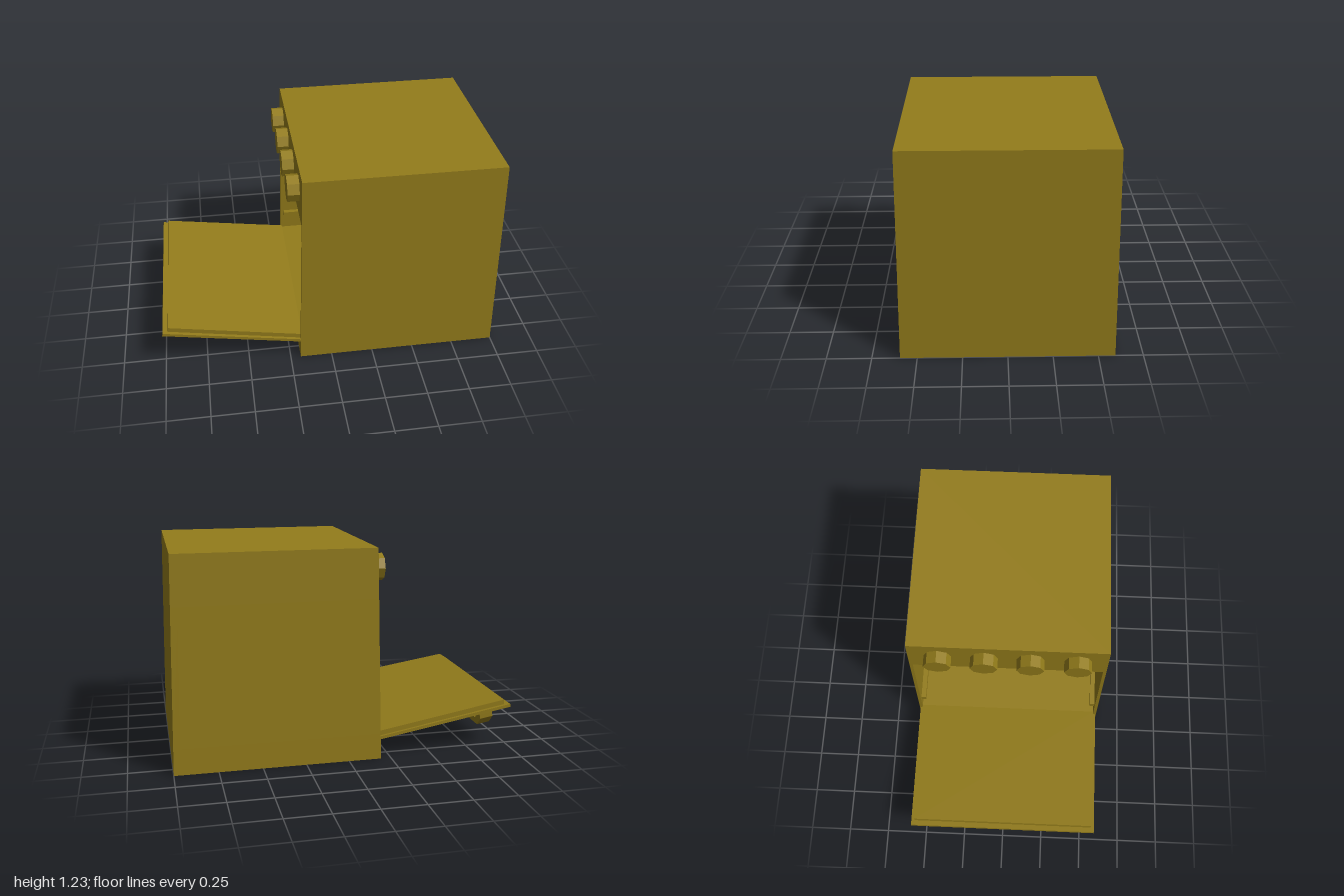
import * as THREE from 'three';

const H = 1.23, CX = 0.405, HALF = 0.595;

export function createModel() {
  const root = new THREE.Group();
  const mat = new THREE.MeshStandardMaterial({ color: 0x937c1b, flatShading: true });

  const add = (parent, name, geo) => {
    const mesh = new THREE.Mesh(geo, mat);
    mesh.name = name;
    parent.add(mesh);
    return mesh;
  };

  // Box between two corners, narrowing slightly towards the top of the oven
  const taperedBox = (x0, x1, y0, y1, z0, z1) => {
    const geo = new THREE.BoxGeometry(x1 - x0, y1 - y0, z1 - z0);
    geo.translate((x0 + x1) / 2, (y0 + y1) / 2, (z0 + z1) / 2);
    const p = geo.attributes.position;
    for (let i = 0; i < p.count; i++) {
      const k = 1 - 0.042 * p.getY(i) / H;
      p.setX(i, CX + (p.getX(i) - CX) * k);
      p.setZ(i, p.getZ(i) * k);
    }
    geo.computeVertexNormals();
    return geo;
  };

  // Oven body: hollow cabinet open towards -x
  const body = new THREE.Group();
  body.name = 'ovenBody';
  root.add(body);
  const front = CX - HALF, back = CX + HALF;
  const floorY = 0.15, ceilY = 0.945, wall = 0.02;
  add(body, 'base', taperedBox(front, back, 0, floorY, -HALF, HALF));
  add(body, 'controlPanelAndTop', taperedBox(front, back, ceilY, H, -HALF, HALF));
  add(body, 'rearWall', taperedBox(back - 0.04, back, floorY, ceilY, -HALF, HALF));
  for (const s of [-1, 1]) {
    const outer = s * HALF, inner = s * (HALF - wall), ledge = s * (HALF - wall - 0.03);
    const span = (a, b) => [Math.min(a, b), Math.max(a, b)];
    add(body, 'sideWall', taperedBox(front, back - 0.04, floorY, ceilY, ...span(outer, inner)));
    add(body, 'shelfRail', taperedBox(front + 0.02, back - 0.04, 0.25, 0.29, ...span(inner, ledge)));
  }

  // Octagonal control knobs
  for (const z of [-0.4, -0.135, 0.13, 0.4]) {
    const geo = new THREE.CylinderGeometry(0.079, 0.079, 0.075, 8);
    geo.rotateZ(Math.PI / 2);
    add(root, 'knob', geo).position.set(-0.1975, 1.098, z);
  }

  // Door, hinged at the foot of the opening and hanging open
  const door = new THREE.Group();
  door.name = 'door';
  door.position.set(-0.185, 0.115, 0);
  door.rotation.z = -0.165;
  root.add(door);

  const slab = (length, hingeHalf, tipHalf, thick, hole) => {
    const shape = new THREE.Shape([[0, -hingeHalf], [0, hingeHalf], [-length, tipHalf], [-length, -tipHalf]]
      .map(([x, y]) => new THREE.Vector2(x, y)));
    if (hole) shape.holes.push(hole);
    const geo = new THREE.ExtrudeGeometry(shape, { depth: thick, bevelEnabled: false });
    geo.rotateX(-Math.PI / 2);
    return geo;
  };
  const windowHole = new THREE.Path([[-0.13, -0.33], [-0.56, -0.33], [-0.56, 0.33], [-0.13, 0.33]]
    .map(([x, y]) => new THREE.Vector2(x, y)));
  add(door, 'doorOuterPanel', slab(0.825, 0.588, 0.573, 0.018, windowHole));
  add(door, 'doorInnerPanel', slab(0.795, 0.572, 0.553, 0.028)).position.y = 0.018;

  // Handle: flat bar with angled corners, below the open door
  const half = [[0.48, 0.005], [0.48, -0.07], [0.41, -0.13]];
  const inner = [[0.43, 0.005], [0.43, -0.055], [0.39, -0.09]];
  const flip = pts => pts.map(([z, y]) => [-z, y]);
  const outline = [...half, ...flip(half).reverse(), ...flip(inner), ...inner.slice().reverse()];
  const handleGeo = new THREE.ExtrudeGeometry(
    new THREE.Shape(outline.map(([z, y]) => new THREE.Vector2(z, y))),
    { depth: 0.08, bevelEnabled: false });
  handleGeo.rotateY(-Math.PI / 2);
  add(door, 'handle', handleGeo).position.x = -0.66;

  return root;
}
